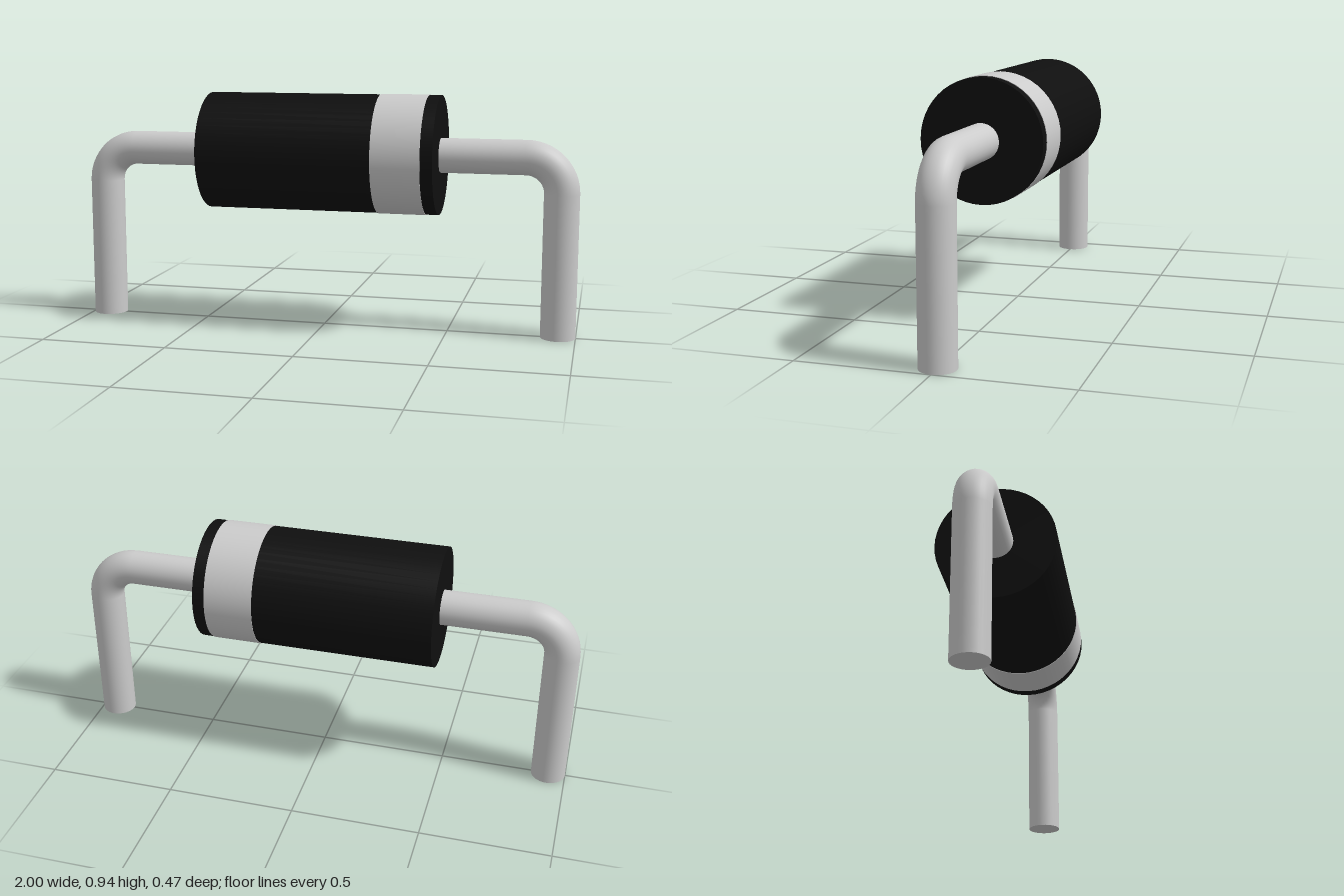
import * as THREE from 'three';

const AXIS_Y = 0.7;       // height of the body axis
const BODY_R = 0.233;
const BODY_HALF = 0.465;
const WIRE_R = 0.068;
const WIRE_X = 0.932;     // centre of the vertical legs
const BEND_R = 0.137;

const metal = new THREE.MeshStandardMaterial({ color: 0xcccccc });
const black = new THREE.MeshStandardMaterial({ color: 0x0f0f0f });

function addMesh(parent, name, geometry, material, x = 0, y = 0) {
  const mesh = new THREE.Mesh(geometry, material);
  mesh.name = name;
  mesh.position.set(x, y, 0);
  parent.add(mesh);
  return mesh;
}

// Bent wire: straight run out of the body, quarter bend, leg down to the ground
function createLead(name) {
  const lead = new THREE.Group();
  lead.name = name;
  const bendX = WIRE_X - BEND_R;
  const bendY = AXIS_Y - BEND_R;
  const run = bendX - BODY_HALF;

  const wire = (length) => new THREE.CylinderGeometry(WIRE_R, WIRE_R, length, 32, 1, true);
  addMesh(lead, 'leadRun', wire(run).rotateZ(Math.PI / 2), metal, BODY_HALF + run / 2, AXIS_Y);
  addMesh(lead, 'leadBend', new THREE.TorusGeometry(BEND_R, WIRE_R, 32, 16, Math.PI / 2), metal, bendX, bendY);
  addMesh(lead, 'leadLeg', wire(bendY), metal, WIRE_X, bendY / 2);
  addMesh(lead, 'leadTip', new THREE.CircleGeometry(WIRE_R, 32).rotateX(Math.PI / 2), metal, WIRE_X, 0);
  return lead;
}

export function createModel() {
  const model = new THREE.Group();
  model.name = 'axialDiode';

  // Cylindrical body lying along x
  addMesh(model, 'body',
    new THREE.CylinderGeometry(BODY_R, BODY_R, BODY_HALF * 2, 48).rotateZ(Math.PI / 2), black, 0, AXIS_Y);

  // Polarity band, slightly proud of the body
  addMesh(model, 'polarityBand',
    new THREE.CylinderGeometry(BODY_R + 0.002, BODY_R + 0.002, 0.19, 48).rotateZ(Math.PI / 2), metal, 0.323, AXIS_Y);

  // One lead on each end
  const leftLead = createLead('leftLead');
  const rightLead = createLead('rightLead');
  rightLead.rotation.y = Math.PI;
  model.add(leftLead, rightLead);

  return model;
}
